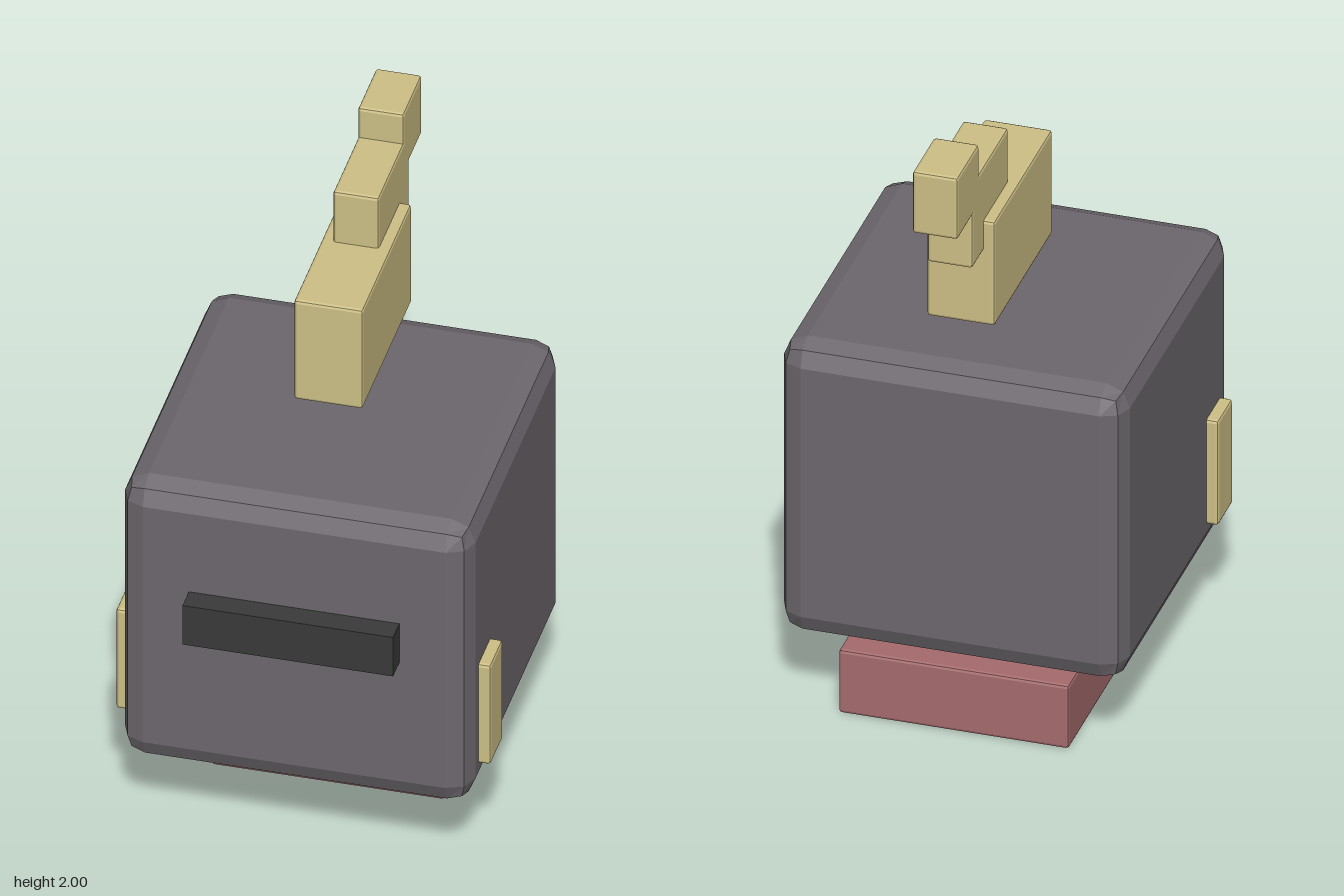
import * as THREE from 'three';
import { RoundedBoxGeometry } from 'three/addons/geometries/RoundedBoxGeometry.js';

export function createModel() {
  const model = new THREE.Group();
  const material = (color) => new THREE.MeshStandardMaterial({ color, flatShading: true });
  const grey = material(0x6c676d);
  const dark = material(0x3a3a3a);
  const yellow = material(0xcdbf85);
  const red = material(0xa56b6d);

  // Box given by its extents on each axis; bevel 0 leaves the edges sharp
  function block(name, mat, [x0, x1], [y0, y1], [z0, z1], bevel = 0.01) {
    const size = [x1 - x0, y1 - y0, z1 - z0];
    const geometry = bevel
      ? new RoundedBoxGeometry(...size, 1, bevel)
      : new THREE.BoxGeometry(...size);
    const mesh = new THREE.Mesh(geometry, mat);
    mesh.name = name;
    mesh.position.set((x0 + x1) / 2, (y0 + y1) / 2, (z0 + z1) / 2);
    model.add(mesh);
  }

  // Body and head
  block('base', red, [-0.355, 0.355], [0, 0.215], [-0.46, 0.18]);
  block('head', grey, [-0.533, 0.533], [0.257, 1.25], [-0.498, 0.57], 0.073);
  block('visorSlot', dark, [-0.32, 0.32], [0.757, 0.897], [0.565, 0.643], 0);

  // Side plates
  block('leftPlate', yellow, [0.5, 0.57], [0.36, 0.717], [0.323, 0.465]);
  block('rightPlate', yellow, [-0.57, -0.5], [0.36, 0.717], [0.323, 0.465]);

  // Stepped crest rising to the back
  block('crestLower', yellow, [-0.105, 0.105], [1.36, 1.715], [-0.39, 0.177]);
  block('crestMiddle', yellow, [-0.07, 0.07], [1.61, 1.895], [-0.497, -0.143]);
  block('crestTip', yellow, [-0.07, 0.07], [1.79, 2.0], [-0.643, -0.43]);

  return model;
}
